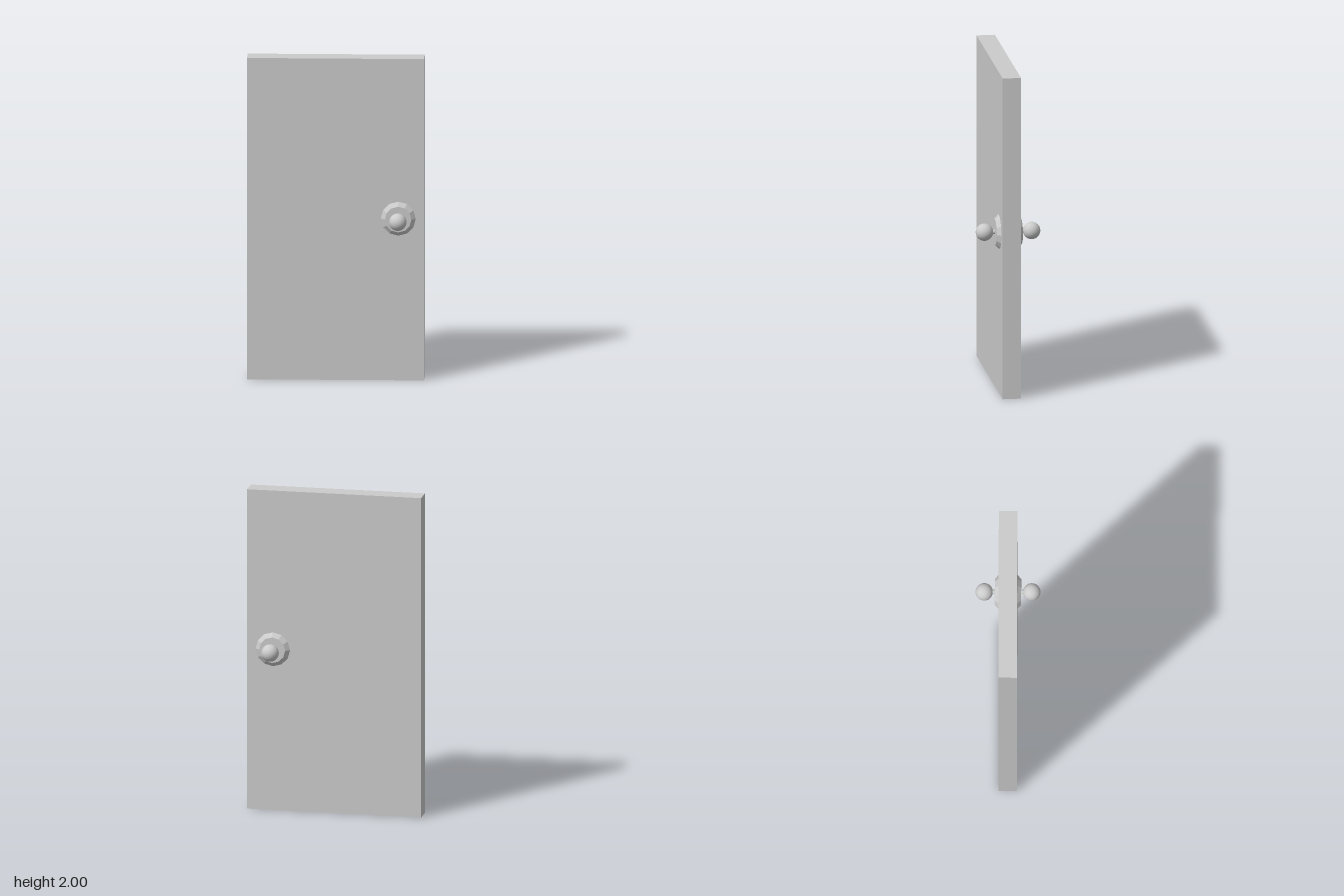
import * as THREE from 'three';

export function createModel() {
  const door = new THREE.Group();
  door.name = 'door';
  const flat = new THREE.MeshStandardMaterial({ color: 0xcccccc, flatShading: true });
  const smooth = new THREE.MeshStandardMaterial({ color: 0xcccccc });
  const thickness = 0.112;

  const add = (parent, name, geometry, material) => {
    const mesh = new THREE.Mesh(geometry, material);
    mesh.name = name;
    parent.add(mesh);
    return mesh;
  };

  // Plain slab
  add(door, 'panel', new THREE.BoxGeometry(1.072, 2, thickness), flat).position.y = 1;

  // Knob set, built along +z and turned half round for the back face
  for (const side of [1, -1]) {
    const handle = new THREE.Group();
    handle.name = side > 0 ? 'frontHandle' : 'backHandle';
    handle.position.set(0.378, 1.006, 0);
    if (side < 0) handle.rotation.y = Math.PI;

    // Bevelled twelve-sided plate seated on the panel
    const plate = new THREE.CylinderGeometry(0.08, 0.106, 0.024, 12).rotateX(Math.PI / 2);
    add(handle, 'plate', plate, flat).position.z = thickness / 2 + 0.012;

    // Thin stem from the plate into the ball
    const stem = new THREE.CylinderGeometry(0.014, 0.014, 0.07, 16).rotateX(Math.PI / 2);
    add(handle, 'stem', stem, smooth).position.z = 0.11;

    // Ball grip
    add(handle, 'knob', new THREE.SphereGeometry(0.053, 32, 20), smooth).position.z = 0.144;
    door.add(handle);
  }
  return door;
}
